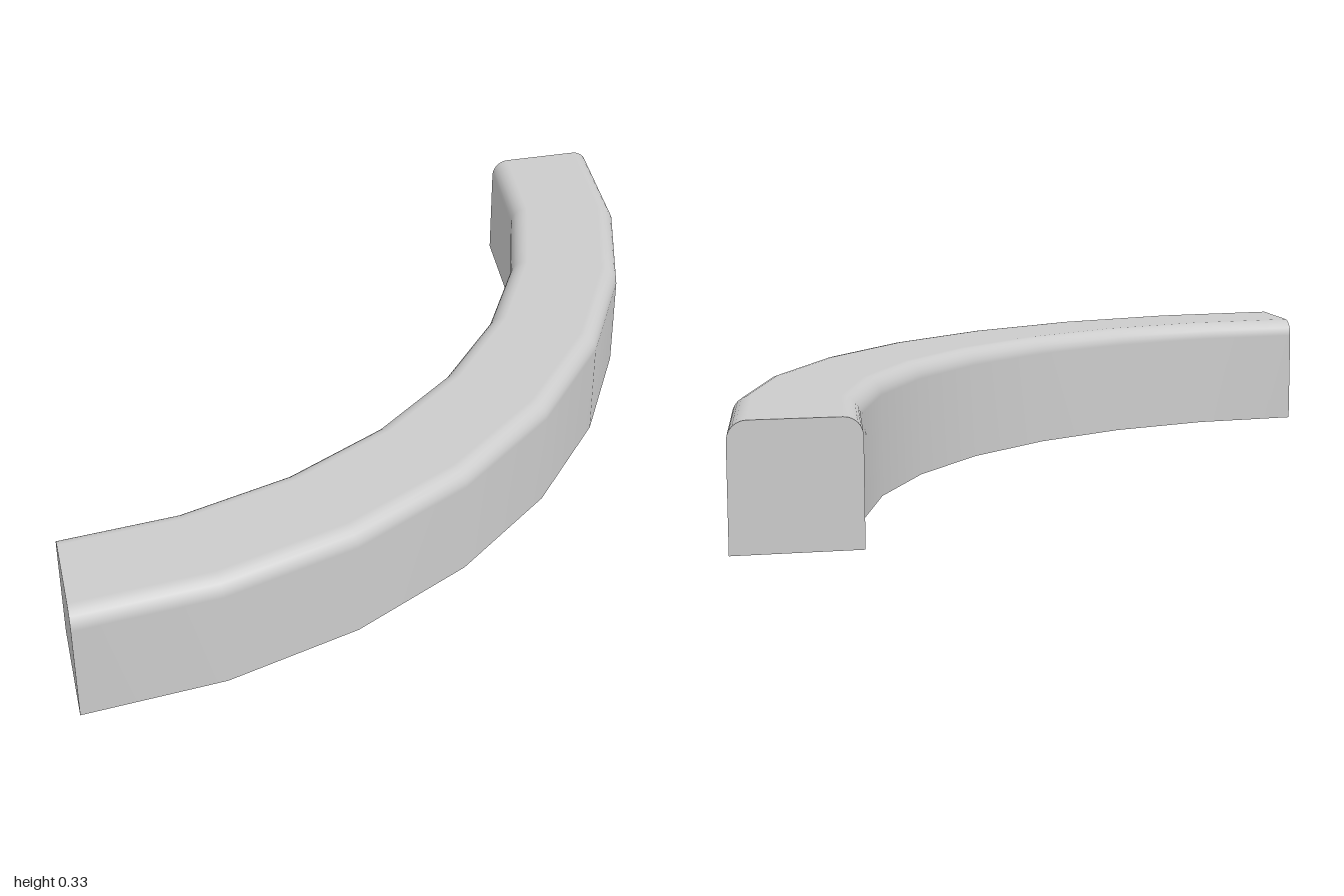
import * as THREE from 'three';

const OUTER = 2, INNER = 1.667, HEIGHT = 0.333, FILLET = 0.05;
const SEGMENTS = 8, FILLET_STEPS = 6;

// Cross-section (radius, height): up the outer wall, over the rounded top, down the inner wall
function crossSection() {
  const pts = [new THREE.Vector2(OUTER, 0)];
  const corners = [[OUTER - FILLET, 0], [INNER + FILLET, Math.PI / 2]];
  for (const [cx, start] of corners) {
    for (let i = 0; i <= FILLET_STEPS; i++) {
      const a = start + (i / FILLET_STEPS) * Math.PI / 2;
      pts.push(new THREE.Vector2(cx + FILLET * Math.cos(a), HEIGHT - FILLET + FILLET * Math.sin(a)));
    }
  }
  pts.push(new THREE.Vector2(INNER, 0));
  return pts;
}

export function createModel() {
  const group = new THREE.Group();
  group.name = 'curvedKerb';
  const material = new THREE.MeshStandardMaterial({ color: 0xcccccc });
  const profile = crossSection();

  const add = (name, geometry, rotationY = 0) => {
    const mesh = new THREE.Mesh(geometry, material);
    mesh.name = name;
    mesh.rotation.y = rotationY;
    mesh.position.set(-1, 0, -1); // centre of the arc
    group.add(mesh);
  };
  const sweep = (pts) => new THREE.LatheGeometry(pts, SEGMENTS, 0, Math.PI / 2);

  // Quarter-circle walls and rounded top
  add('curvedBody', sweep(profile));
  // Flat underside
  add('underside', sweep([new THREE.Vector2(INNER, 0), new THREE.Vector2(OUTER, 0)]));

  // Flat end faces
  const mirrored = profile.map((p) => new THREE.Vector2(-p.x, p.y));
  add('rightEnd', new THREE.ShapeGeometry(new THREE.Shape(profile)), -Math.PI / 2);
  add('backEnd', new THREE.ShapeGeometry(new THREE.Shape(mirrored)), Math.PI);

  return group;
}
